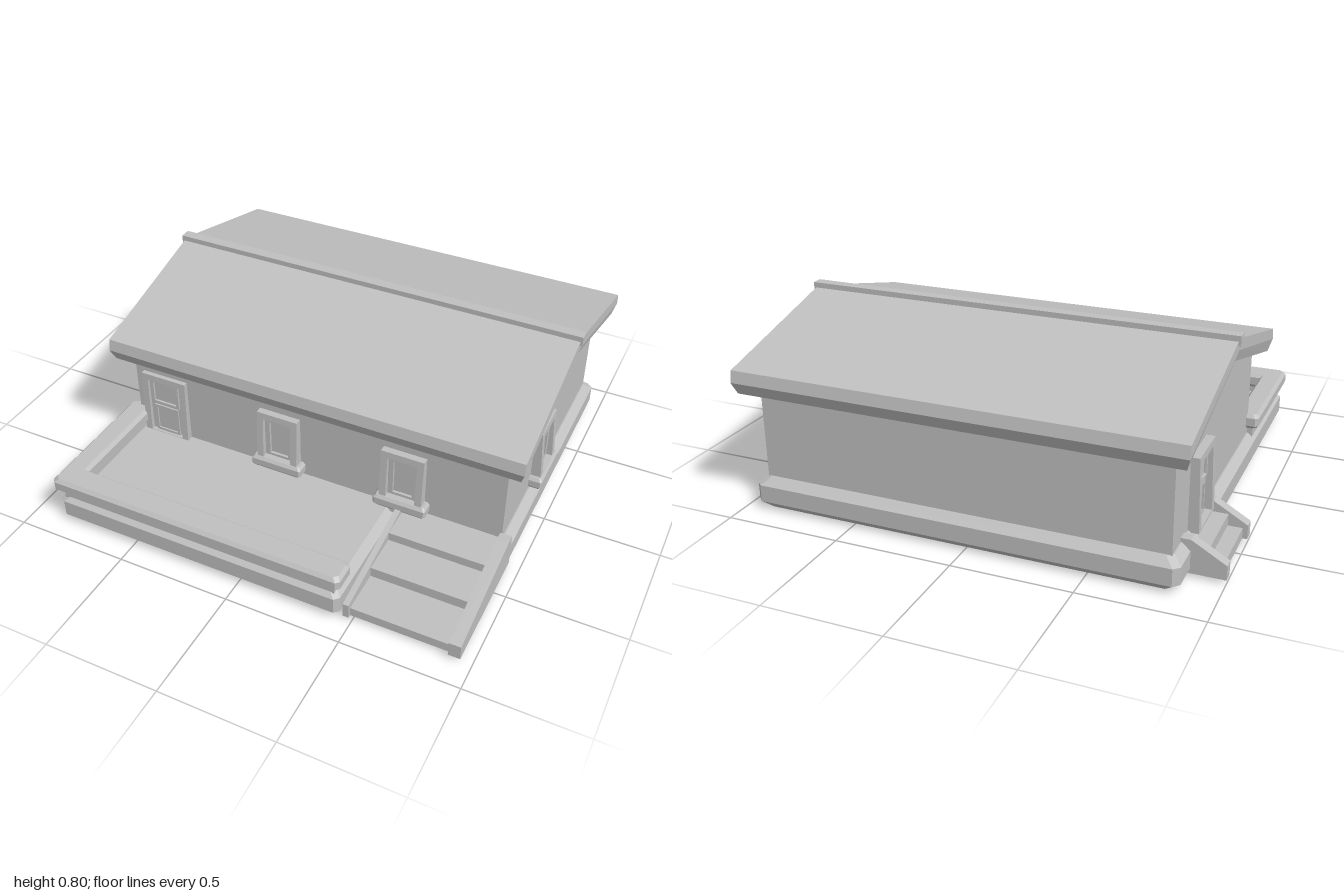
import * as THREE from 'three';

const plaster = new THREE.MeshStandardMaterial({ color: 0xc0c0c0 });
plaster.name = 'plainGrey';

function add(parent, name, geometry) {
  const mesh = new THREE.Mesh(geometry, plaster);
  mesh.name = name;
  parent.add(mesh);
  return mesh;
}

function box(parent, name, x0, x1, y0, y1, z0, z1) {
  const g = new THREE.BoxGeometry(x1 - x0, y1 - y0, z1 - z0);
  g.translate((x0 + x1) / 2, (y0 + y1) / 2, (z0 + z1) / 2);
  return add(parent, name, g);
}

// Block with cut corners, lofted through levels of [height, inset]
function chamferBlock(parent, name, x0, x1, z0, z1, levels, cut) {
  const rings = levels.map(([y, i]) => {
    const a = x0 + i, b = x1 - i, c = z0 + i, d = z1 - i;
    return [[a + cut, d], [b - cut, d], [b, d - cut], [b, c + cut],
      [b - cut, c], [a + cut, c], [a, c + cut], [a, d - cut]].map(([x, z]) => [x, y, z]);
  });
  const p = [];
  const tri = (...v) => v.forEach((q) => p.push(...q));
  for (let r = 0; r < rings.length - 1; r++) {
    for (let k = 0; k < 8; k++) {
      const n = (k + 1) % 8, lo = rings[r], hi = rings[r + 1];
      tri(lo[k], lo[n], hi[n]);
      tri(lo[k], hi[n], hi[k]);
    }
  }
  const bottom = rings[0], top = rings[rings.length - 1];
  for (let k = 1; k < 7; k++) {
    tri(top[0], top[k], top[k + 1]);
    tri(bottom[0], bottom[k + 1], bottom[k]);
  }
  const g = new THREE.BufferGeometry();
  g.setAttribute('position', new THREE.Float32BufferAttribute(p, 3));
  g.computeVertexNormals();
  return add(parent, name, g);
}

// Extrude a [z, y] outline along x
function alongX(points, x0, x1) {
  const shape = new THREE.Shape(points.map(([z, y]) => new THREE.Vector2(-z, y)));
  const g = new THREE.ExtrudeGeometry(shape, { depth: x1 - x0, bevelEnabled: false });
  return g.rotateY(Math.PI / 2).translate(x0, 0, 0);
}

// Rectangular surround facing +z; its face leans outward towards the foot
function surround(parent, name, w, y0, y1, border, depth, lean, foot = border) {
  const rect = (Type, a, b, c, d) => new Type([[a, c], [b, c], [b, d], [a, d]].map((q) => new THREE.Vector2(...q)));
  const shape = rect(THREE.Shape, -w / 2, w / 2, y0, y1);
  shape.holes.push(rect(THREE.Path, -w / 2 + border, w / 2 - border, y0 + foot, y1 - border));
  const g = new THREE.ExtrudeGeometry(shape, { depth, bevelEnabled: false });
  const p = g.attributes.position;
  for (let i = 0; i < p.count; i++) {
    if (p.getZ(i) > depth / 2) p.setZ(i, depth + lean * (y1 - p.getY(i)) / (y1 - y0));
  }
  g.computeVertexNormals();
  return add(parent, name, g);
}

function makeWindow() {
  const w = new THREE.Group();
  w.name = 'window';
  surround(w, 'windowSurround', 0.19, 0.19, 0.43, 0.03, 0.03, 0.015, 0.01);
  surround(w, 'windowSash', 0.13, 0.2, 0.4, 0.022, 0.018, 0, 0.015);
  box(w, 'windowPane', -0.05, 0.05, 0.2, 0.39, 0, 0.006);
  chamferBlock(w, 'windowSill', -0.117, 0.117, -0.02, 0.057,
    [[0.145, 0.012], [0.16, 0], [0.19, 0], [0.203, 0.01]], 0.006);
  box(w, 'sillBracket', -0.06, 0.06, 0.12, 0.15, -0.02, 0.036);
  return w;
}

function makeDoor(depth) {
  const d = new THREE.Group();
  d.name = 'door';
  surround(d, 'doorSurround', 0.22, 0.13, 0.44, 0.03, depth, 0.01, 0.01);
  box(d, 'doorLeaf', -0.09, 0.09, 0.13, 0.42, 0, 0.01);
  surround(d, 'doorLight', 0.14, 0.29, 0.42, 0.015, 0.02, 0);
  surround(d, 'doorPanel', 0.12, 0.14, 0.28, 0.012, 0.017, 0);
  return d;
}

// Stairs going down towards local +z between two sloping cheeks
function makeStairs(name, width, run, treads, cheeks, top, low) {
  const s = new THREE.Group();
  s.name = name;
  let back = -0.04;
  treads.forEach(([front, y]) => {
    box(s, 'tread', -width / 2 + 0.01, width / 2 - 0.01, 0.015, y, back, front);
    back = front;
  });
  [-1, 1].forEach((side, i) => {
    const outer = side * width / 2, inner = outer - side * cheeks[i];
    const outline = [[-0.04, 0.015], [-0.04, top], [0, top], [run, low], [run, 0.015]];
    add(s, 'stairCheek', alongX(outline, Math.min(outer, inner), Math.max(outer, inner)));
  });
  return s;
}

export function createModel() {
  const house = new THREE.Group();
  house.name = 'house';

  // Chamfered plinth under the house and terrace
  const plinth = [[0, 0.035], [0.035, 0], [0.108, 0], [0.138, 0.035]];
  chamferBlock(house, 'housePlinth', -0.86, 0.95, -0.885, 0.37, plinth, 0.025);
  chamferBlock(house, 'terracePlinth', -0.86, 0.45, -0.2, 0.905, plinth, 0.02);

  // Low terrace walls with wide coping
  box(house, 'terraceFrontWall', -0.845, 0.425, 0.1, 0.18, 0.825, 0.885);
  box(house, 'terraceSideWall', -0.845, -0.79, 0.1, 0.18, 0.33, 0.885);
  const coping = [[0.168, 0.014], [0.183, 0], [0.22, 0], [0.235, 0.014]];
  chamferBlock(house, 'frontCoping', -0.875, 0.46, 0.8, 0.92, coping, 0.015);
  chamferBlock(house, 'sideCoping', -0.875, -0.77, 0.3, 0.92, coping, 0.015);

  // Gabled walls
  add(house, 'walls', alongX(
    [[0.33, 0.1], [0.33, 0.54], [-0.255, 0.7], [-0.84, 0.54], [-0.84, 0.1]], -0.82, 0.91));

  // Roof slabs: an upright upper edge and a slightly undercut lower edge
  const ridgeZ = -0.255;
  const gable = (half, eave, peak) => [[ridgeZ + half, eave], [ridgeZ, peak], [ridgeZ - half, eave]];
  const upper = gable(0.657, 0.615, 0.785);
  const middle = gable(0.667, 0.565, 0.737);
  const lower = gable(0.645, 0.514, 0.69);
  add(house, 'roof', alongX([...upper, ...middle.slice().reverse()], -0.89, 0.99));
  const under = alongX([...middle, ...lower.slice().reverse()], -0.89, 0.99);
  const p = under.attributes.position;
  for (let i = 0; i < p.count; i++) {
    const isLower = lower.some(([z, y]) => Math.hypot(p.getZ(i) - z, p.getY(i) - y) < 1e-4);
    if (isLower) p.setX(i, p.getX(i) > 0 ? 0.975 : -0.875);
  }
  under.computeVertexNormals();
  add(house, 'roofEdge', under);
  box(house, 'ridgeBeam', -0.9, 1, 0.76, 0.802, ridgeZ - 0.024, ridgeZ + 0.024);

  // Windows: two in front, one in the left gable
  [[-0.1, 0.33, 0], [0.475, 0.33, 0], [0.91, -0.115, Math.PI / 2]].forEach(([x, z, turn]) => {
    const w = makeWindow();
    w.position.set(x, 0, z);
    w.rotation.y = turn;
    house.add(w);
  });

  // Front door and side door
  const frontDoor = makeDoor(0.02);
  frontDoor.name = 'frontDoor';
  frontDoor.position.set(-0.67, 0, 0.33);
  const sideDoor = makeDoor(0.035);
  sideDoor.name = 'sideDoor';
  sideDoor.position.set(-0.82, 0, -0.53);
  sideDoor.rotation.y = -Math.PI / 2;
  house.add(frontDoor, sideDoor);

  // Front steps beside the terrace, and small steps at the side door
  const frontStairs = makeStairs('frontStairs', 0.49, 0.515,
    [[0.135, 0.139], [0.31, 0.1], [0.5, 0.055]], [0.025, 0.05], 0.165, 0.08);
  frontStairs.position.set(0.707, 0, 0.37);
  const sideStairs = makeStairs('sideStairs', 0.375, 0.14,
    [[0.06, 0.11], [0.12, 0.06]], [0.045, 0.045], 0.155, 0.075);
  sideStairs.position.set(-0.86, 0, -0.547);
  sideStairs.rotation.y = -Math.PI / 2;
  house.add(frontStairs, sideStairs);

  return house;
}
